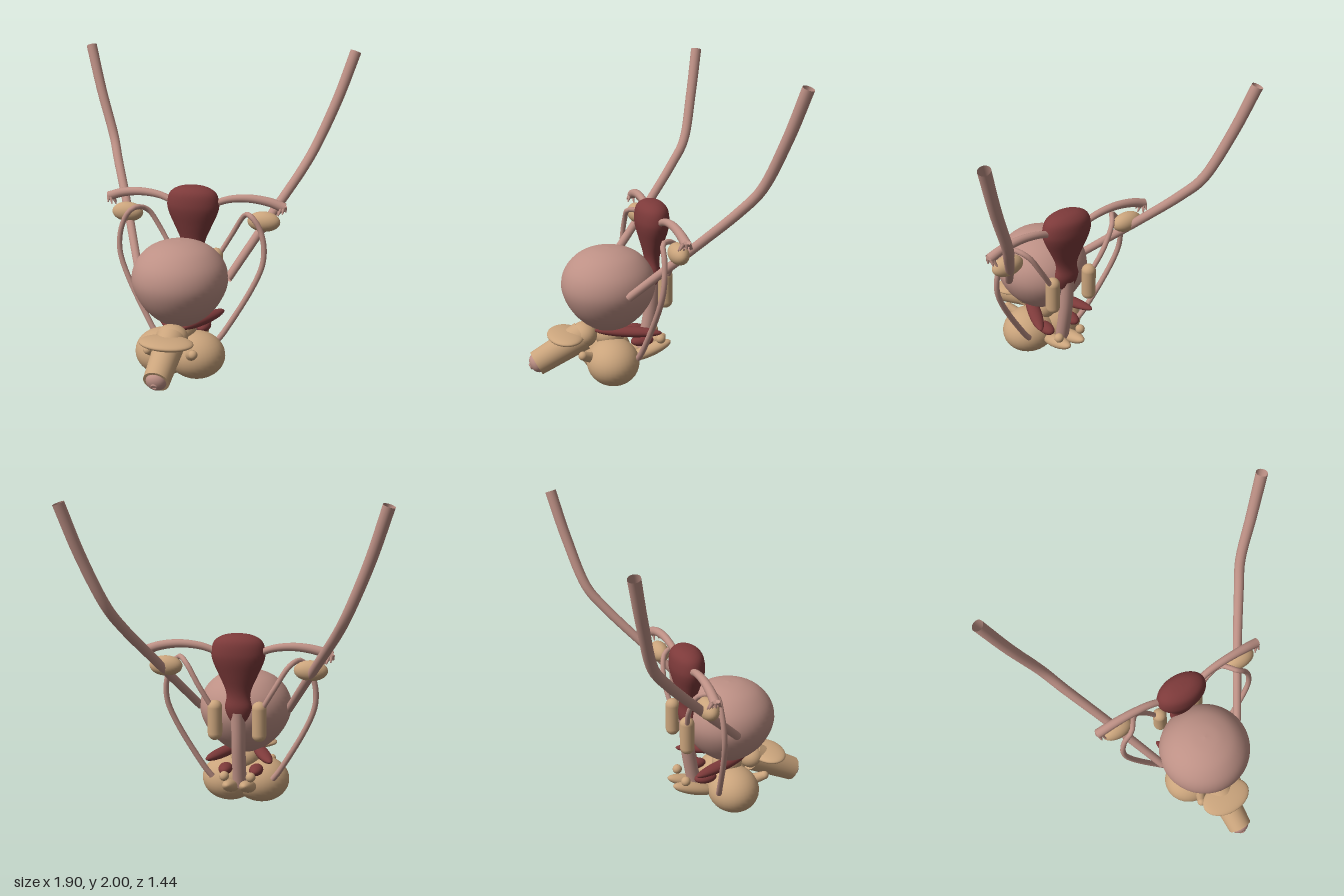
import * as THREE from 'three';

const mat = (name, color, side = THREE.FrontSide) => {
  const m = new THREE.MeshStandardMaterial({ color, side });
  m.name = name;
  return m;
};
const V = (p) => new THREE.Vector3(...p);

export function createModel() {
  const root = new THREE.Group();
  root.name = 'pelvicOrgans';
  const pink = mat('pink tissue', 0xbd9085, THREE.DoubleSide);
  const tan = mat('tan tissue', 0xcaa47c);
  const red = mat('dark red muscle', 0x7d3a3a);

  const add = (name, geo, material, parent = root) => {
    const m = new THREE.Mesh(geo, material);
    m.name = name;
    parent.add(m);
    return m;
  };
  const ellipsoid = (name, pos, radii, material, rot = [0, 0, 0], parent = root) => {
    const m = add(name, new THREE.SphereGeometry(1, 32, 20), material, parent);
    m.position.set(...pos);
    m.scale.set(...radii);
    m.rotation.set(...rot);
    return m;
  };
  // Smooth surface of revolution from [radius, y] pairs
  const lathe = (name, pts, material) => {
    const curve = new THREE.SplineCurve(pts.map(([r, y]) => new THREE.Vector2(r, y)));
    const prof = curve.getPoints(40).map((p) => new THREE.Vector2(Math.max(p.x, 0), p.y));
    return add(name, new THREE.LatheGeometry(prof, 40), material);
  };
  // Tube whose radius runs from r0 to r1
  const tube = (name, pts, r0, r1, material, parent = root) => {
    const curve = new THREE.CatmullRomCurve3(pts.map(V), false, 'centripetal');
    const n = 40, sides = 14;
    const geo = new THREE.TubeGeometry(curve, n, 1, sides);
    const pos = geo.attributes.position, v = new THREE.Vector3();
    for (let i = 0; i <= n; i++) {
      const c = curve.getPointAt(i / n), r = r0 + (r1 - r0) * i / n;
      for (let j = 0; j <= sides; j++) {
        const k = i * (sides + 1) + j;
        v.fromBufferAttribute(pos, k).sub(c).multiplyScalar(r).add(c);
        pos.setXYZ(k, v.x, v.y, v.z);
      }
    }
    return add(name, geo, material, parent);
  };
  // Cylinder or cone between two points
  const rod = (name, a, b, ra, rb, material, parent = root) => {
    const A = V(a), B = V(b), d = B.clone().sub(A);
    const m = add(name, new THREE.CylinderGeometry(rb, ra, d.length(), 28), material, parent);
    m.position.copy(A).add(B).multiplyScalar(0.5);
    m.quaternion.setFromUnitVectors(new THREE.Vector3(0, 1, 0), d.normalize());
    return m;
  };

  // Bladder
  lathe('bladder', [[0, 0.34], [0.11, 0.37], [0.21, 0.45], [0.275, 0.55], [0.3, 0.65],
    [0.275, 0.75], [0.2, 0.835], [0.1, 0.88], [0, 0.892]], pink).position.z = 0.195;

  // Uterus with cervix, flattened front to back
  const uterus = lathe('uterus', [[0, 0.6], [0.05, 0.62], [0.085, 0.7], [0.075, 0.77], [0.085, 0.83], [0.125, 0.92],
    [0.16, 1.0], [0.17, 1.06], [0.15, 1.13], [0.085, 1.168], [0, 1.177]], red);
  uterus.scale.z = 0.62;
  uterus.position.z = -0.09;
  tube('vagina', [[0, 0.68, -0.1], [0, 0.45, -0.085], [0, 0.18, -0.04]], 0.045, 0.045, pink);

  // Shaft, hood and tip
  ellipsoid('shaftRoot', [0, 0.32, 0.36], [0.1, 0.08, 0.085], tan);
  rod('shaft', [0, 0.31, 0.37], [0, 0.155, 0.67], 0.095, 0.08, tan);
  ellipsoid('shaftCollar', [0, 0.325, 0.48], [0.17, 0.034, 0.115], tan);
  ellipsoid('tip', [0, 0.157, 0.668], [0.063, 0.063, 0.045], pink, [0.47, 0, 0]);
  const opening = add('tipOpening', new THREE.TorusGeometry(0.016, 0.006, 8, 20), pink);
  opening.position.set(0, 0.138, 0.708);
  opening.rotation.x = 0.47;

  // Gland under the bladder
  ellipsoid('gland', [0, 0.31, 0.19], [0.1, 0.09, 0.1], tan);

  // Paired parts
  for (const s of [1, -1]) {
    const side = new THREE.Group();
    side.name = s > 0 ? 'leftSide' : 'rightSide';
    root.add(side);
    const P = (x, y, z) => [s * x, y, z];

    tube('ureter', [P(0.915, 1.99, -0.687), P(0.82, 1.69, -0.62), P(0.7, 1.385, -0.53),
      P(0.635, 1.25, -0.43), P(0.49, 1.0, -0.2), P(0.29, 0.65, 0.14)], 0.036, 0.026, pink, side);
    tube('uterineTube', [P(0.13, 1.06, -0.1), P(0.23, 1.095, -0.11), P(0.36, 1.108, -0.115),
      P(0.49, 1.092, -0.12), P(0.585, 1.06, -0.125)], 0.021, 0.031, pink, side);
    // Fringe at the tube's end
    for (let i = 0; i < 6; i++) {
      const a = i * Math.PI / 3, c = Math.cos(a), d = Math.sin(a);
      rod('fringe', P(0.575 + 0.012 * c, 1.065, -0.125 + 0.018 * d),
        P(0.565 + 0.028 * c, 1.022 + 0.012 * c, -0.125 + 0.045 * d), 0.014, 0.004, pink, side);
    }
    ellipsoid('ovary', P(0.455, 0.965, -0.12), [0.105, 0.064, 0.06], tan, [0, 0, 0], side);

    tube('spermDuct', [P(0.2, 0.2, 0.055), P(0.25, 0.27, 0.04), P(0.475, 0.72, -0.02),
      P(0.455, 0.92, -0.035), P(0.39, 1.01, -0.045), P(0.325, 0.99, -0.13),
      P(0.24, 0.855, -0.16), P(0.15, 0.7, -0.145)], 0.019, 0.016, pink, side);
    const vesicle = add('seminalVesicle', new THREE.CapsuleGeometry(0.046, 0.165, 8, 20), tan, side);
    vesicle.position.set(...P(0.14, 0.632, -0.14));

    ellipsoid('scrotumLobe', P(0.105, 0.155, 0.195), [0.185, 0.15, 0.168], tan, [0, 0, 0], side);
    tube('frontHorn', [P(0.1, 0.19, 0.3), P(0.125, 0.215, 0.36), P(0.145, 0.235, 0.4)], 0.04, 0.028, tan, side);
    ellipsoid('hornEnd', P(0.145, 0.235, 0.4), [0.028, 0.028, 0.028], tan, [0, 0, 0], side);
    ellipsoid('rearFold', P(0.055, 0.18, -0.06), [0.05, 0.04, 0.155], tan, [0.32, 0, 0], side);
    ellipsoid('rearGland', P(0.085, 0.265, -0.13), [0.031, 0.031, 0.031], tan, [0, 0, 0], side);

    // Pelvic floor muscles
    ellipsoid('floorMuscle', P(0.125, 0.358, 0.1), [0.045, 0.033, 0.215], red, [0, -s * 0.38, 0], side);
    ellipsoid('lowerMuscle', P(0.1, 0.275, 0), [0.045, 0.035, 0.075], red, [0, 0, 0], side);
  }
  return root;
}
